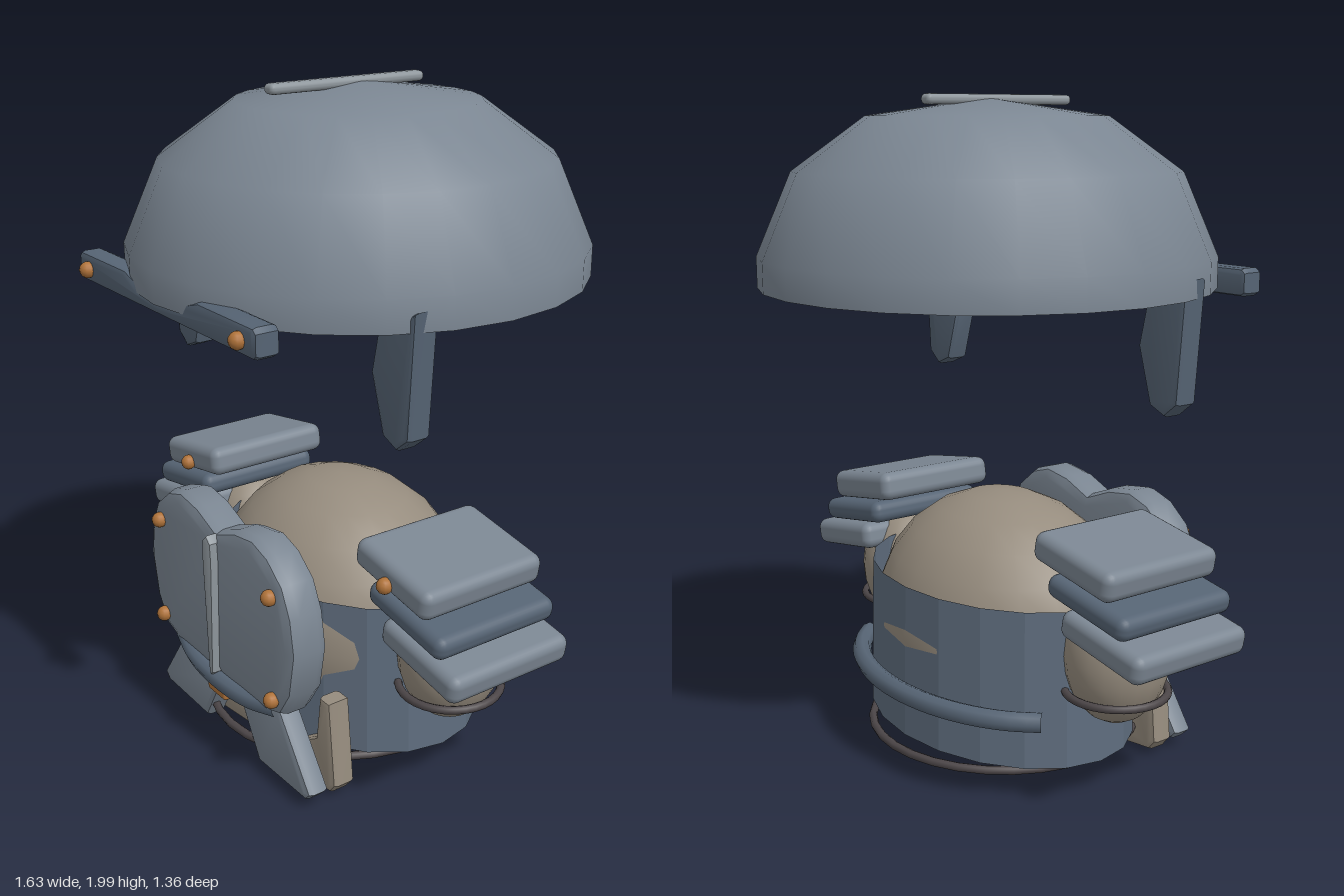
import * as THREE from 'three';
import { toCreasedNormals } from 'three/addons/utils/BufferGeometryUtils.js';
import { RoundedBoxGeometry } from 'three/addons/geometries/RoundedBoxGeometry.js';

const mat = (color, extra = {}) => new THREE.MeshStandardMaterial({ color, ...extra });
const STEEL = mat(0x7b8692);
const BLUE = mat(0x566474);
const BAND = mat(0x5f6d7e, { flatShading: true, side: THREE.DoubleSide });
const BEIGE = mat(0x968c7e);
const BRONZE = mat(0xb0733a);
const DARK = mat(0x4c4648);
const TRIM = mat(0x8e969c);

export function createModel() {
  const root = new THREE.Group();

  const add = (name, geometry, material, x = 0, y = 0, z = 0, parent = root) => {
    const mesh = new THREE.Mesh(geometry, material);
    mesh.name = name;
    mesh.position.set(x, y, z);
    parent.add(mesh);
    return mesh;
  };

  // Bevelled plate with its outline in xy, filling z0 to z1
  const plate = (points, z0, z1, bevel) => {
    const shape = new THREE.Shape(points.map(([x, y]) => new THREE.Vector2(x, y)));
    const geometry = new THREE.ExtrudeGeometry(shape, {
      depth: z1 - z0 - 2 * bevel, bevelEnabled: true, bevelSize: bevel,
      bevelThickness: bevel, bevelOffset: -bevel, bevelSegments: 2,
    });
    geometry.translate(0, 0, z0 + bevel);
    return toCreasedNormals(geometry, 0.6);
  };

  // Outline completed by its mirror image across x = 0
  const mirrored = (half) => [...half, ...half.filter(([x]) => x > 0).reverse().map(([x, y]) => [-x, y])];
  const flip = (points, s) => points.map(([x, y]) => [s * x, y]);

  const ball = (name, x, y, z, rx, ry, rz, parent) => {
    const geometry = new THREE.SphereGeometry(1, 20, 12).scale(rx, ry, rz);
    return add(name, geometry, BEIGE, x, y, z, parent);
  };
  const rivet = (x, y, z, parent) => add('rivet', new THREE.SphereGeometry(0.024, 12, 8), BRONZE, x, y, z, parent);

  const tube = (name, points, radius, material) => add(name, new THREE.TubeGeometry(
    new THREE.CatmullRomCurve3(points.map((p) => new THREE.Vector3(...p))), 24, radius, 8), material);

  const flatRing = (radius, thickness) =>
    new THREE.TorusGeometry(radius, thickness, 8, 32).rotateX(Math.PI / 2);

  // Helmet
  const helmet = new THREE.Group();
  helmet.name = 'helmet';
  root.add(helmet);

  const domeProfile = [
    [0, 1.955], [0.33, 1.91], [0.54, 1.76], [0.635, 1.54], [0.635, 1.455],
    [0.67, 1.455], [0.67, 1.545], [0.565, 1.785], [0.35, 1.94], [0, 1.99],
  ].map(([r, y]) => new THREE.Vector2(r, y));
  add('dome', toCreasedNormals(new THREE.LatheGeometry(domeProfile, 24), 0.9), STEEL, 0, 0, -0.01, helmet);
  add('domeRidge', new RoundedBoxGeometry(0.046, 0.03, 0.52, 2, 0.014), TRIM, 0, 1.985, 0.03, helmet);

  const brow = mirrored([
    [0, 1.465], [0.12, 1.465], [0.14, 1.485], [0.2, 1.503], [0.465, 1.503], [0.48, 1.49], [0.48, 1.43], [0.465, 1.42], [0, 1.42],
  ]);
  add('browBand', plate(brow, 0.57, 0.645, 0.015), BLUE, 0, 0, 0, helmet);

  const cheek = [[0.62, 1.51], [0.595, 1.5], [0.47, 1.46], [0.435, 1.31], [0.485, 1.145], [0.545, 1.12], [0.595, 1.16]];

  // Arms, shoulder armour and paired parts
  const shoulderPlates = [[0.535, 0.745, 0.09], [0.595, 0.645, 0.07], [0.655, 0.55, 0.085]];
  const skirt = [[0.27, 0.28], [0.05, 0.21], [0.15, 0.035], [0.4, 0.04], [0.425, 0.065]];
  for (const s of [-1, 1]) {
    add('cheekGuard', plate(flip(cheek, s), 0.19, 0.27, 0.016), BLUE, 0, 0, 0, helmet);
    rivet(s * 0.41, 1.46, 0.652, helmet);

    const shoulder = new THREE.Group();
    shoulder.name = 'shoulder';
    root.add(shoulder);
    ball('arm', s * 0.53, 0.45, 0.05, 0.15, 0.2, 0.155, shoulder);
    add('armRing', flatRing(0.148, 0.012), DARK, s * 0.53, 0.345, 0.05, shoulder);
    shoulderPlates.forEach(([x, y, h], i) => {
      const geometry = new RoundedBoxGeometry(0.325, h, 0.42, 3, 0.03);
      const mesh = add('shoulderPlate', geometry, i === 1 ? BLUE : STEEL, s * x, y, 0.07, shoulder);
      mesh.rotation.z = -s * 0.17;
    });
    rivet(s * 0.53, 0.73, 0.288, shoulder);

    add('skirtPlate', plate(flip(skirt, s), 0.4, 0.472, 0.018), STEEL);
    for (const y of [0.345, 0.67]) rivet(s * 0.31, y, 0.518);
  }

  // Body with its wrap-around band
  ball('body', 0, 0.415, 0.05, 0.45, 0.405, 0.37);
  const band = new THREE.CylinderGeometry(0.478, 0.49, 0.47, 20, 1, true).scale(1, 1, 0.73);
  add('bodyBand', band, BAND, 0, 0.345, 0.035);
  add('lowerRing', flatRing(0.415, 0.013), DARK, 0, 0.085, 0.055);

  // Hip plate behind the skirt
  const hip = mirrored([
    [0, 0.1], [0.22, 0.11], [0.33, 0.18], [0.35, 0.325], [0.4, 0.325], [0.425, 0.06], [0.4, 0.03], [0.22, 0.008], [0, 0.035],
  ]);
  add('hipPlate', plate(hip, 0.31, 0.385, 0.015), BEIGE);

  // Chest plate and centre ridge
  const chest = mirrored([
    [0, 0.745], [0.1, 0.785], [0.2, 0.8], [0.28, 0.775], [0.355, 0.715], [0.395, 0.63], [0.412, 0.52],
    [0.385, 0.38], [0.33, 0.295], [0.25, 0.27], [0, 0.27],
  ]);
  add('chestPlate', plate(chest, 0.385, 0.51, 0.035), STEEL);
  const ridge = mirrored([[0, 0.74], [0.022, 0.72], [0.025, 0.66], [0.01, 0.29], [0, 0.28]]);
  add('chestRidge', plate(ridge, 0.495, 0.535, 0.007), TRIM);

  // Belt at front and back
  tube('frontBelt', [[-0.27, 0.28, 0.47], [-0.15, 0.265, 0.5], [0, 0.26, 0.51], [0.15, 0.265, 0.5], [0.27, 0.28, 0.47]], 0.028, BLUE);
  add('buckle', new RoundedBoxGeometry(0.1, 0.045, 0.05, 2, 0.01), BRONZE, 0, 0.228, 0.495);
  const arc = [];
  for (let i = -5; i <= 5; i++) {
    const a = (i / 5) * 1.05;
    arc.push([0.52 * Math.sin(a), 0.268, 0.035 - 0.388 * Math.cos(a)]);
  }
  tube('backBelt', arc, 0.03, BLUE);

  return root;
}
